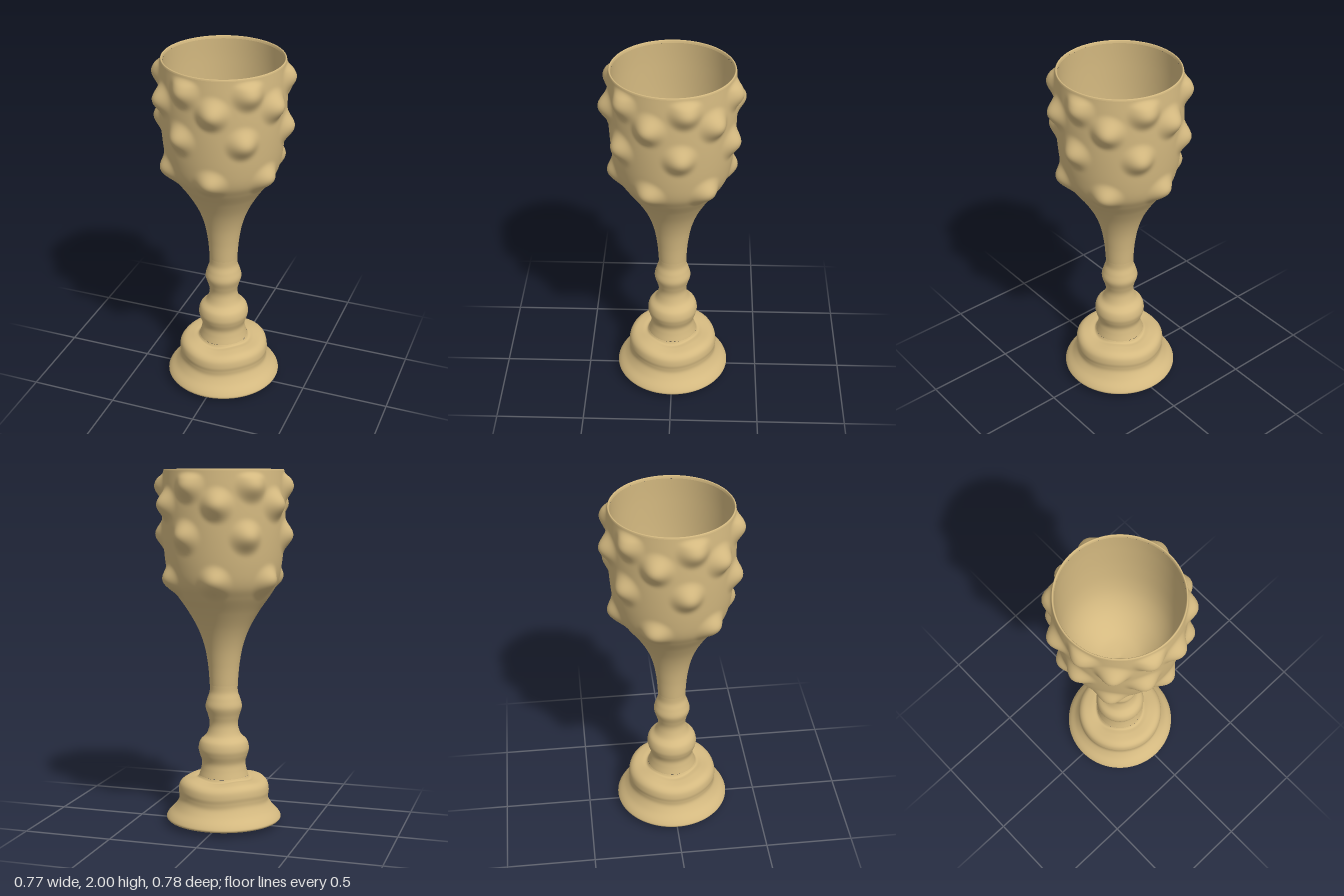
import * as THREE from 'three';
import { mergeVertices } from 'three/addons/utils/BufferGeometryUtils.js';

const brass = new THREE.MeshStandardMaterial({ color: 0xd4b980 });
brass.name = 'pale brass';

// Smooth turned surface through [radius, height] points, optionally reshaped by a rule
function turned(name, profile, rows, segments, reshape) {
  const curve = new THREE.SplineCurve(profile.map(([r, y]) => new THREE.Vector2(r, y)));
  const points = curve.getPoints(rows);
  points.forEach((p) => { p.x = Math.max(p.x, 0); });
  let geometry = new THREE.LatheGeometry(points, segments);
  geometry.deleteAttribute('uv');
  geometry.deleteAttribute('normal');
  geometry = mergeVertices(geometry, 1e-5);
  if (reshape) {
    const pos = geometry.attributes.position;
    for (let i = 0; i < pos.count; i++) {
      const x = pos.getX(i), y = pos.getY(i), z = pos.getZ(i);
      const angle = Math.atan2(x, z);
      const [r2, y2] = reshape(Math.hypot(x, z), y, angle);
      pos.setXYZ(i, r2 * Math.sin(angle), y2, r2 * Math.cos(angle));
    }
  }
  geometry.computeVertexNormals();
  const mesh = new THREE.Mesh(geometry, brass);
  mesh.name = name;
  return mesh;
}

// Four staggered rings of six knobs: height, first angle in degrees, how far they stand out
const rings = [
  { y: 1.91, start: -17, out: 0.048 },
  { y: 1.81, start: 10.5, out: 0.054 },
  { y: 1.64, start: -22, out: 0.05 },
  { y: 1.395, start: 7, out: 0.048 },
];
const knobRadius = 0.11;

// Soft knobs that melt into the wall and fade out below the lip
function addKnobs(r, y, angle) {
  let extra = 0;
  for (const ring of rings) {
    const step = Math.PI / 3;
    let a = angle - THREE.MathUtils.degToRad(ring.start);
    a -= Math.round(a / step) * step;
    const t2 = ((a * r) ** 2 + (y - ring.y) ** 2) / knobRadius ** 2;
    if (t2 < 1) extra += ring.out * (1 - t2) ** 2.6;
  }
  return [r + extra * (1 - THREE.MathUtils.smoothstep(y, 1.95, 1.99)), y];
}

// Gentle four-lobed wave along the upper tier of the foot
function addWave(r, y, angle) {
  const weight = THREE.MathUtils.smoothstep(y, 0.08, 0.15) * THREE.MathUtils.smoothstep(r, 0.13, 0.16);
  return [r, y - 0.005 * Math.cos(4 * angle) * weight];
}

export function createModel() {
  const goblet = new THREE.Group();
  goblet.name = 'goblet';

  // Slightly domed underside
  goblet.add(turned('underside', [[0, 0], [0.15, 0.005], [0.27, 0.017], [0.32, 0.03]], 16, 96));

  // Flared foot with a rounded upper tier
  goblet.add(turned('foot', [
    [0.32, 0.03], [0.326, 0.042], [0.312, 0.065], [0.279, 0.1], [0.256, 0.138], [0.254, 0.17],
    [0.257, 0.2], [0.249, 0.236], [0.224, 0.258], [0.18, 0.266], [0.15, 0.267], [0.139, 0.28],
  ], 66, 96, addWave));

  // Stem with two turned knops
  goblet.add(turned('stem', [
    [0.139, 0.28], [0.128, 0.32], [0.123, 0.36], [0.137, 0.405], [0.143, 0.44], [0.132, 0.48],
    [0.1, 0.512], [0.084, 0.55], [0.08, 0.585], [0.089, 0.625], [0.103, 0.675], [0.093, 0.72],
    [0.08, 0.76], [0.079, 0.8],
  ], 80, 72));

  // Knobbed outer wall, swelling out of the stem
  goblet.add(turned('cup', [
    [0.079, 0.8], [0.088, 0.91], [0.108, 1.02], [0.144, 1.12], [0.2, 1.22], [0.262, 1.31],
    [0.301, 1.38], [0.322, 1.48], [0.335, 1.62], [0.34, 1.76], [0.338, 1.89], [0.332, 1.99],
  ], 132, 180, addKnobs));

  // Rounded lip and hollow interior
  goblet.add(turned('lip', [[0.332, 1.99], [0.33, 1.998], [0.326, 2], [0.322, 1.997], [0.319, 1.985]], 12, 180));
  goblet.add(turned('interior', [
    [0.319, 1.985], [0.322, 1.85], [0.319, 1.65], [0.305, 1.48], [0.272, 1.355], [0.21, 1.255],
    [0.115, 1.18], [0, 1.155],
  ], 56, 96));

  return goblet;
}
